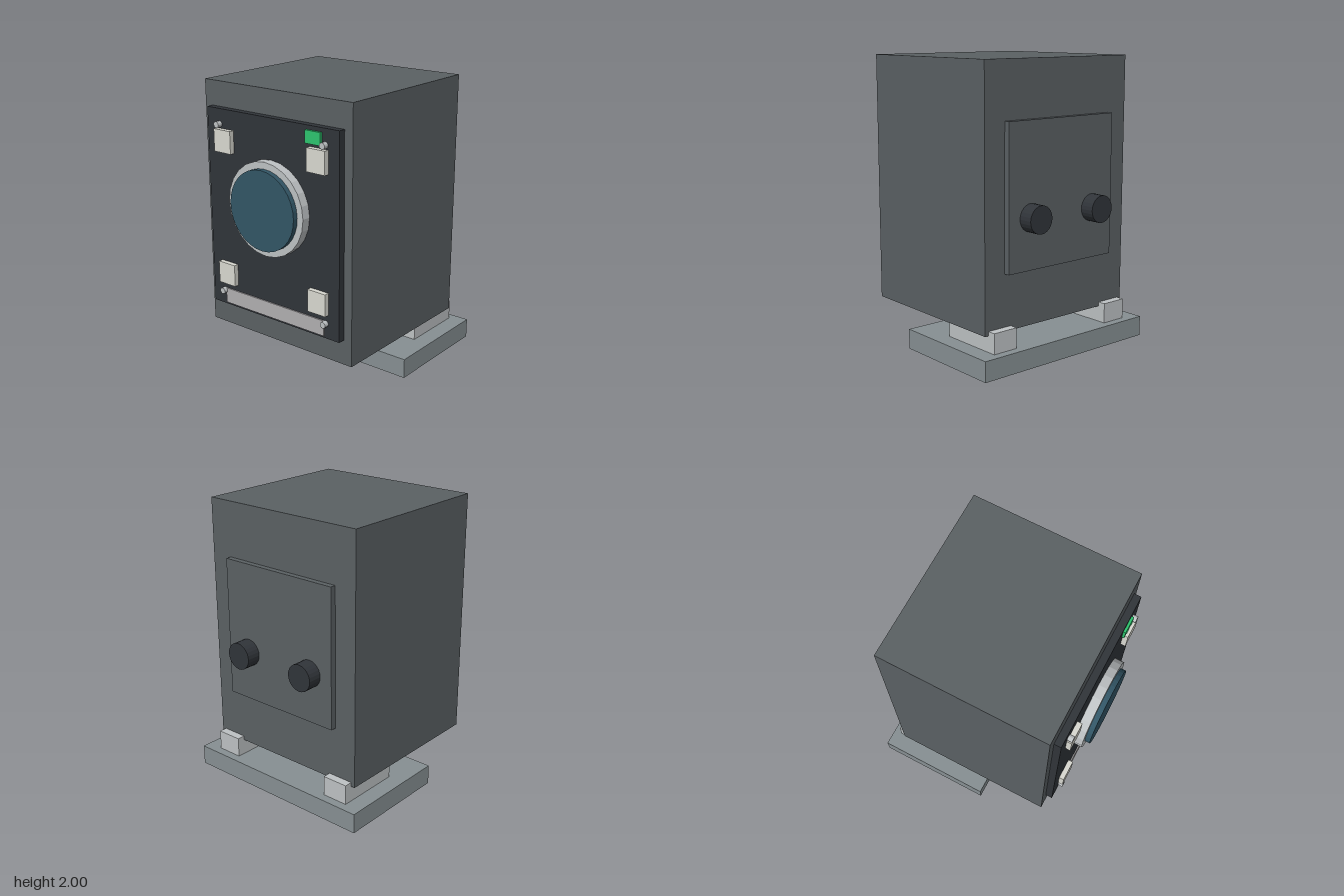
import * as THREE from 'three';

const mat = (color) => new THREE.MeshStandardMaterial({ color, flatShading: true });

export function createModel() {
  const model = new THREE.Group();
  const grey = mat(0x5a6063), dark = mat(0x303439), base = mat(0x868f92), metal = mat(0xbdc1c3);
  const glass = mat(0x325565), cream = mat(0xd8d8d0), green = mat(0x2dc46e), silver = mat(0xb0aeb0);

  // Box given by its extents on each axis
  const box = (name, m, [x0, x1], [y0, y1], [z0, z1]) => {
    const mesh = new THREE.Mesh(new THREE.BoxGeometry(x1 - x0, y1 - y0, z1 - z0), m);
    mesh.position.set((x0 + x1) / 2, (y0 + y1) / 2, (z0 + z1) / 2);
    mesh.name = name;
    model.add(mesh);
  };

  // Cylinder lying along z
  const disc = (name, m, r, x, y, [z0, z1], sides = 24) => {
    const geo = new THREE.CylinderGeometry(r, r, z1 - z0, sides).rotateX(Math.PI / 2);
    const mesh = new THREE.Mesh(geo, m);
    mesh.position.set(x, y, (z0 + z1) / 2);
    mesh.name = name;
    model.add(mesh);
  };

  // Cabinet, stand and panels
  box('cabinet', grey, [-0.625, 0.625], [0.25, 2], [-0.6, 0.593]);
  box('basePlate', base, [-0.717, 0.717], [0, 0.14], [-0.717, 0.115]);
  box('frontPanel', dark, [-0.562, 0.562], [0.425, 1.828], [0.58, 0.643]);
  box('backPanel', grey, [-0.462, 0.462], [0.635, 1.615], [-0.641, -0.59]);

  // Round window in its ring
  disc('windowRing', metal, 0.322, 0, 1.23, [0.63, 0.708]);
  disc('windowGlass', glass, 0.275, 0, 1.23, [0.64, 0.745], 32);

  // Front details
  box('statusLight', green, [0.302, 0.425], [1.715, 1.8], [0.63, 0.66]);
  box('lowerStrip', silver, [-0.44, 0.44], [0.44, 0.548], [0.63, 0.652]);

  // Mirrored parts
  for (const s of [-1, 1]) {
    const span = (a, b) => (s > 0 ? [a, b] : [-b, -a]);
    box('supportBlock', metal, span(0.408, 0.596), [0.13, 0.28], [-0.657, -0.187]);
    disc('backKnob', dark, 0.094, s * 0.275, 0.985, [-0.742, -0.63]);
    for (const y of [0.595, 1.54]) box('cornerPad', cream, span(0.327, 0.475), [y, y + 0.155], [0.63, 0.678]);
    for (const y of [0.53, 1.723]) disc('screw', metal, 0.022, s * 0.452, y, [0.63, 0.678], 12);
  }
  return model;
}
